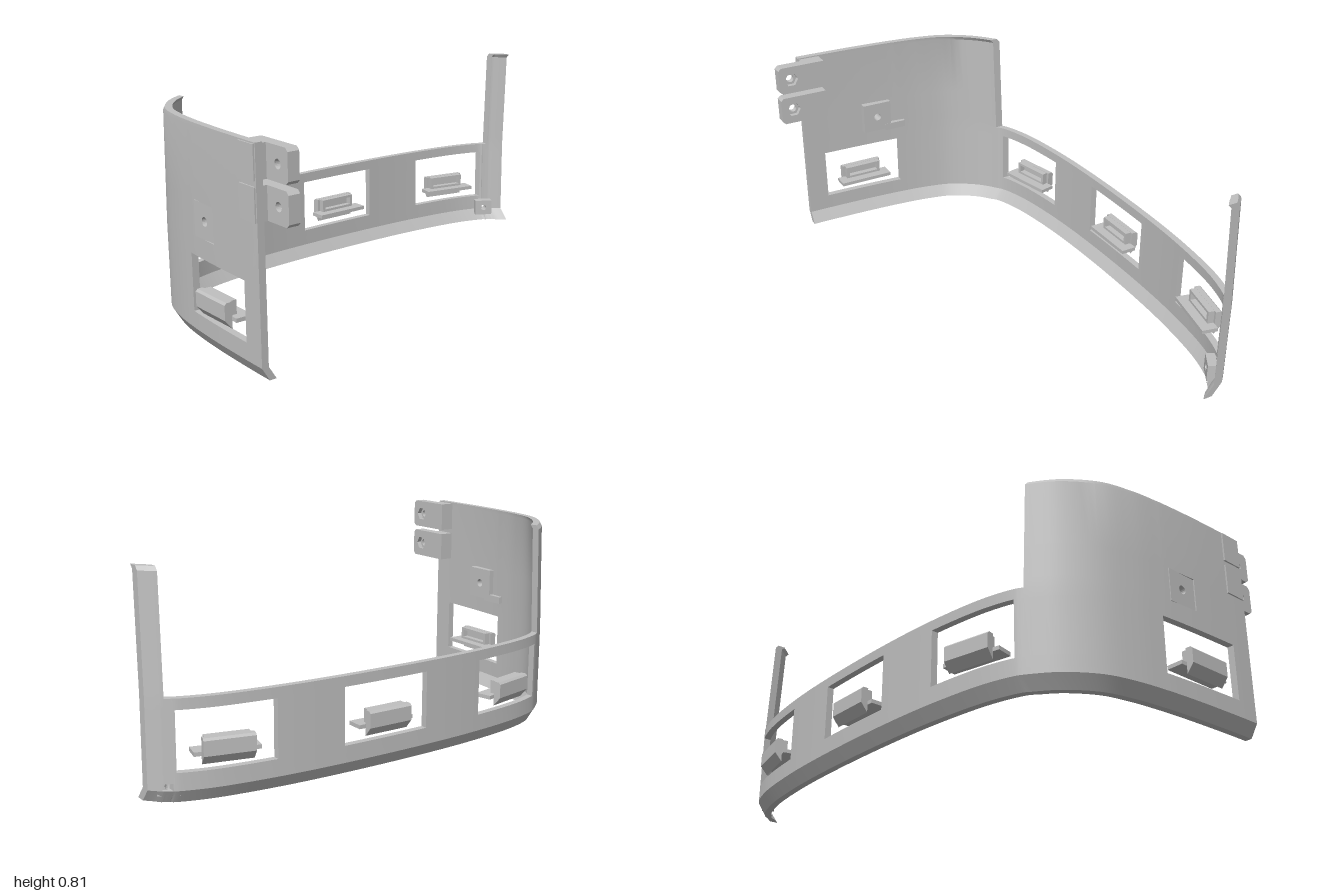
import * as THREE from 'three';
import { toCreasedNormals } from 'three/addons/utils/BufferGeometryUtils.js';

const grey = new THREE.MeshStandardMaterial({ color: 0xc0c0c0 });
grey.name = 'light grey plastic';

function mesh(name, geometry, x = 0, y = 0, z = 0) {
  const m = new THREE.Mesh(geometry, grey);
  m.name = name;
  m.position.set(x, y, z);
  return m;
}

const box = (w, h, d) => new THREE.BoxGeometry(w, h, d);

function polygon(points) {
  return new THREE.Shape(points.map(([x, y]) => new THREE.Vector2(x, y)));
}

function extrude(shape, depth) {
  return new THREE.ExtrudeGeometry(shape, { depth, bevelEnabled: false });
}

// Centred rectangle with a hole
function plateWithHole(w, h, hole) {
  const s = polygon([[-w / 2, -h / 2], [w / 2, -h / 2], [w / 2, h / 2], [-w / 2, h / 2]]);
  s.holes.push(hole);
  return s;
}

// Round or many-sided hole
function ring(r, sides, cx = 0) {
  const pts = [];
  for (let i = 0; i < sides; i++) {
    const a = -i / sides * Math.PI * 2;
    pts.push(new THREE.Vector2(cx + r * Math.cos(a), r * Math.sin(a)));
  }
  return new THREE.Path(pts);
}

// Plan of the outer wall (x, z), from the front end round to the rear post
const PLAN = [
  [0.46, 0.97], [0.37, 0.969], [0.18, 0.963], [0.05, 0.955], [0.005, 0.951],
  [-0.12, 0.935], [-0.25, 0.9], [-0.37, 0.82], [-0.445, 0.73], [-0.463, 0.70],
  [-0.5, 0.58], [-0.533, 0.345], [-0.548, 0.075], [-0.548, -0.295], [-0.533, -0.565],
  [-0.5, -0.8], [-0.463, -0.92], [-0.457, -0.93], [-0.445, -0.95], [-0.437, -0.962], [-0.4, -1],
];
const ROWS = [0, 0.05, 0.076, 0.115, 0.335, 0.375, 0.41, 0.54, 0.8, 0.815];
const STEPS = 5;
const THICK = 0.027;

// Is the wall present between plan points i and i + 1 at height y?
function solid(i, y) {
  if (i < 0 || i >= PLAN.length - 1) return false;
  if (y > 0.375 && i >= 8 && i < 18) return false; // low side wall
  const window = [1, 2, 3, 9, 10, 12, 14, 15].includes(i);
  if (window && y > 0.115 && y < 0.335) return false;
  if (i === 2 && y > 0.41 && y < 0.54) return false; // opening for the mount
  if ((i === 17 || i === 18) && y > 0.05 && y < 0.076) return false; // screw opening
  return true;
}

function wallGeometry() {
  const curve = new THREE.CatmullRomCurve3(PLAN.map(([x, z]) => new THREE.Vector3(x, 0, z)));
  const n = (PLAN.length - 1) * STEPS;
  const columns = [];
  for (let c = 0; c <= n; c++) {
    const t = curve.getTangent(c / n);
    // Inset runs along z on the front and along x on the side, so cut edges stay square
    const a = THREE.MathUtils.clamp((c / STEPS - 4) / 4, 0, 1) * Math.PI / 2;
    const [mx, mz] = [-Math.sin(a), Math.cos(a)];
    const k = 1 / (mx * t.z - mz * t.x);
    columns.push({ p: curve.getPoint(c / n), sideways: Math.max(0, -t.z), dx: mx * k, dz: mz * k });
  }
  const point = (c, y, inset) => {
    const { p, sideways, dx, dz } = columns[c];
    let d = inset;
    if (y < 0.05) d += 0.03 * (1 - y / 0.05); // chamfered foot
    if (y > 0.375) d += 0.016 * (y - 0.375) / 0.425 * sideways; // slight lean
    if (y > 0.8) d += 0.013 * sideways; // chamfered top
    return [p.x - dx * d, y, p.z - dz * d];
  };
  const out = [];
  const quad = (a, b, c, d) => out.push(...a, ...b, ...c, ...a, ...c, ...d);
  const filled = (c, r) => r >= 0 && r < ROWS.length - 1 &&
    solid(Math.floor(c / STEPS), (ROWS[r] + ROWS[r + 1]) / 2);
  const corners = [[0, 0], [0, 1], [1, 1], [1, 0]];
  for (let c = 0; c < n; c++) {
    for (let r = 0; r < ROWS.length - 1; r++) {
      if (!filled(c, r)) continue;
      const [o00, o01, o11, o10] = corners.map(([i, j]) => point(c + i, ROWS[r + j], 0));
      const [i00, i01, i11, i10] = corners.map(([i, j]) => point(c + i, ROWS[r + j], THICK));
      quad(o00, o01, o11, o10);
      quad(i10, i11, i01, i00);
      if (!filled(c - 1, r)) quad(i00, i01, o01, o00);
      if (!filled(c + 1, r)) quad(o10, o11, i11, i10);
      if (!filled(c, r + 1)) quad(i01, i11, o11, o01);
      if (!filled(c, r - 1)) quad(o00, o10, i10, i00);
    }
  }
  const g = new THREE.BufferGeometry();
  g.setAttribute('position', new THREE.Float32BufferAttribute(out, 3));
  return toCreasedNormals(g, 0.4);
}

// Clip standing in a window; local +z points out of the wall
function windowClip(x, z, angle) {
  const clip = new THREE.Group();
  clip.name = 'windowClip';
  const profile = polygon([[-0.002, 0.135], [0.027, 0.17], [0.027, 0.225], [0.019, 0.233], [-0.002, 0.233]]);
  const pad = extrude(profile, 0.186).translate(0, 0, -0.093).rotateY(-Math.PI / 2);
  clip.add(mesh('clipPad', pad));
  clip.add(mesh('clipFlange', box(0.24, 0.015, 0.065), 0, 0.1725, -0.0335));
  const hole = new THREE.Path([[-0.07, -0.016], [-0.07, 0.016], [0.07, 0.016], [0.07, -0.016]]
    .map(([a, b]) => new THREE.Vector2(a, b)));
  clip.add(mesh('clipFrame', extrude(plateWithHole(0.165, 0.053, hole), 0.025), 0, 0.206, -0.027));
  clip.position.set(x, 0, z);
  clip.rotation.y = angle;
  return clip;
}

// Hinge block with a bored tab and a hexagonal nut recess behind
function hingeBlock(y) {
  const block = new THREE.Group();
  block.name = 'hingeBlock';
  block.add(mesh('blockBody', box(0.09, 0.12, 0.095), 0.41, 0, 0.9275));
  const tab = hole => {
    const s = polygon([[0.455, -0.06], [0.56, -0.06], [0.572, -0.048], [0.572, 0.048], [0.56, 0.06], [0.455, 0.06]]);
    s.holes.push(hole);
    return s;
  };
  block.add(mesh('tabFront', extrude(tab(ring(0.017, 20, 0.517)), 0.025), 0, 0, 0.9));
  block.add(mesh('tabBack', extrude(tab(ring(0.03, 6, 0.517)), 0.02), 0, 0, 0.88));
  block.position.y = y;
  return block;
}

export function createModel() {
  const model = new THREE.Group();
  model.name = 'curvedCover';
  model.add(mesh('wall', wallGeometry()));

  // Clips, one in each window
  const side = -Math.PI / 2;
  model.add(
    windowClip(0.188, 0.967, 0),
    windowClip(-0.505, 0.525, side + 0.22),
    windowClip(-0.548, -0.11, side),
    windowClip(-0.505, -0.745, side - 0.22),
  );

  // Hinge blocks at the front end
  for (const y of [0.61, 0.75]) model.add(hingeBlock(y));

  // Bored mount in the front wall, with a small tail inside
  const mount = extrude(plateWithHole(0.132, 0.132, ring(0.017, 20)), 0.052);
  model.add(mesh('mountPlate', mount, 0.115, 0.475, 0.906));
  model.add(mesh('mountTail', box(0.1, 0.03, 0.03), 0.03, 0.415, 0.92));

  // Screw boss at the rear foot
  const boss = mesh('screwBoss', extrude(plateWithHole(0.08, 0.07, ring(0.014, 16)), 0.05), -0.393, 0.063, -0.912);
  boss.rotation.y = side - 0.55;
  model.add(boss);

  return model;
}
